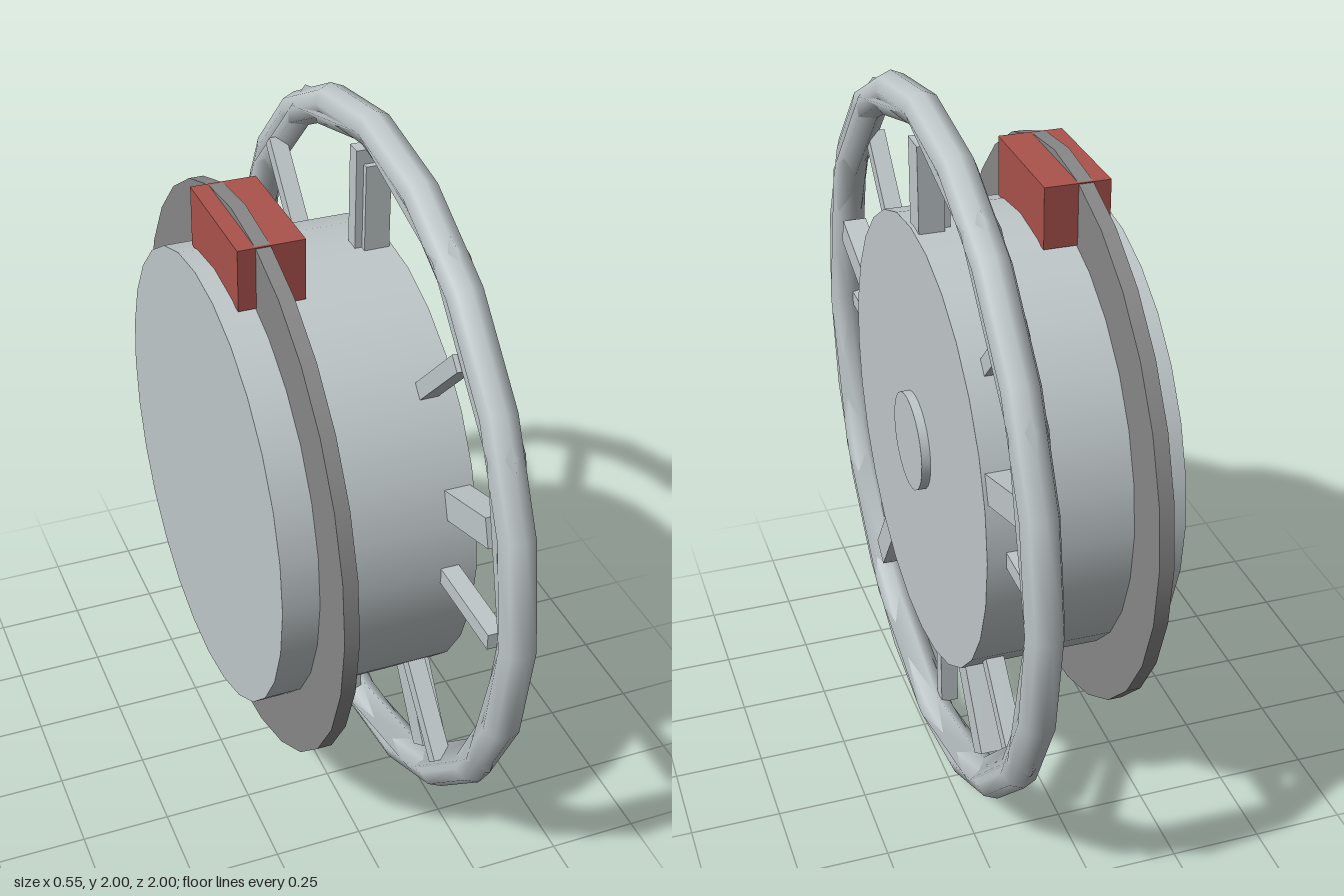
import * as THREE from 'three';

export function createModel() {
  const group = new THREE.Group();
  group.name = 'wheel';

  const silver = new THREE.MeshStandardMaterial({ color: 0xc0c8ca });
  silver.name = 'silver';
  const steel = new THREE.MeshStandardMaterial({ color: 0x888889 });
  steel.name = 'brake steel';
  const red = new THREE.MeshStandardMaterial({ color: 0xaa524c });
  red.name = 'caliper red';

  // The axle runs along x at y = 1
  const axle = new THREE.Group();
  axle.name = 'wheelAssembly';
  axle.position.y = 1;
  group.add(axle);

  const add = (name, geometry, material, parent = axle) => {
    const mesh = new THREE.Mesh(geometry, material);
    mesh.name = name;
    parent.add(mesh);
    return mesh;
  };

  // Cylinder lying along x, from x0 to x1
  const drum = (name, radius, x0, x1, material) => {
    const geometry = new THREE.CylinderGeometry(radius, radius, x1 - x0, 28);
    geometry.rotateZ(-Math.PI / 2).translate((x0 + x1) / 2, 0, 0);
    return add(name, geometry, material);
  };

  drum('barrel', 0.635, -0.28, 0.25, silver);
  drum('brakeDisc', 0.8, -0.18, -0.14, steel);
  drum('centreCap', 0.138, 0.25, 0.275, silver);

  // Brake caliper straddling the top of the disc
  add('caliper', new THREE.BoxGeometry(0.18, 0.17, 0.37), red).position.set(-0.138, 0.695, 0);

  // Round outer rim and the twelve-sided diamond-section ring inside it
  const ring = (name, radial, sides) => {
    const geometry = new THREE.TorusGeometry(0.95, 0.05, radial, sides);
    geometry.rotateY(Math.PI / 2).translate(0.21, 0, 0);
    add(name, geometry, silver);
  };
  ring('outerRim', 8, 20);
  ring('innerRim', 4, 12);

  // Evenly spaced radial bars, the first one pointing straight up
  const spokes = (name, count, width, x0, x1, r0, r1) => {
    const geometry = new THREE.BoxGeometry(x1 - x0, r1 - r0, width);
    geometry.translate((x0 + x1) / 2, (r0 + r1) / 2, 0);
    for (let i = 0; i < count; i++) {
      add(name, geometry, silver).rotation.x = (i / count) * Math.PI * 2;
    }
  };
  spokes('wideSpoke', 5, 0.08, 0.17, 0.24, 0.55, 0.87);
  spokes('thinSpoke', 8, 0.045, 0.15, 0.2, 0.55, 0.91);

  return group;
}
